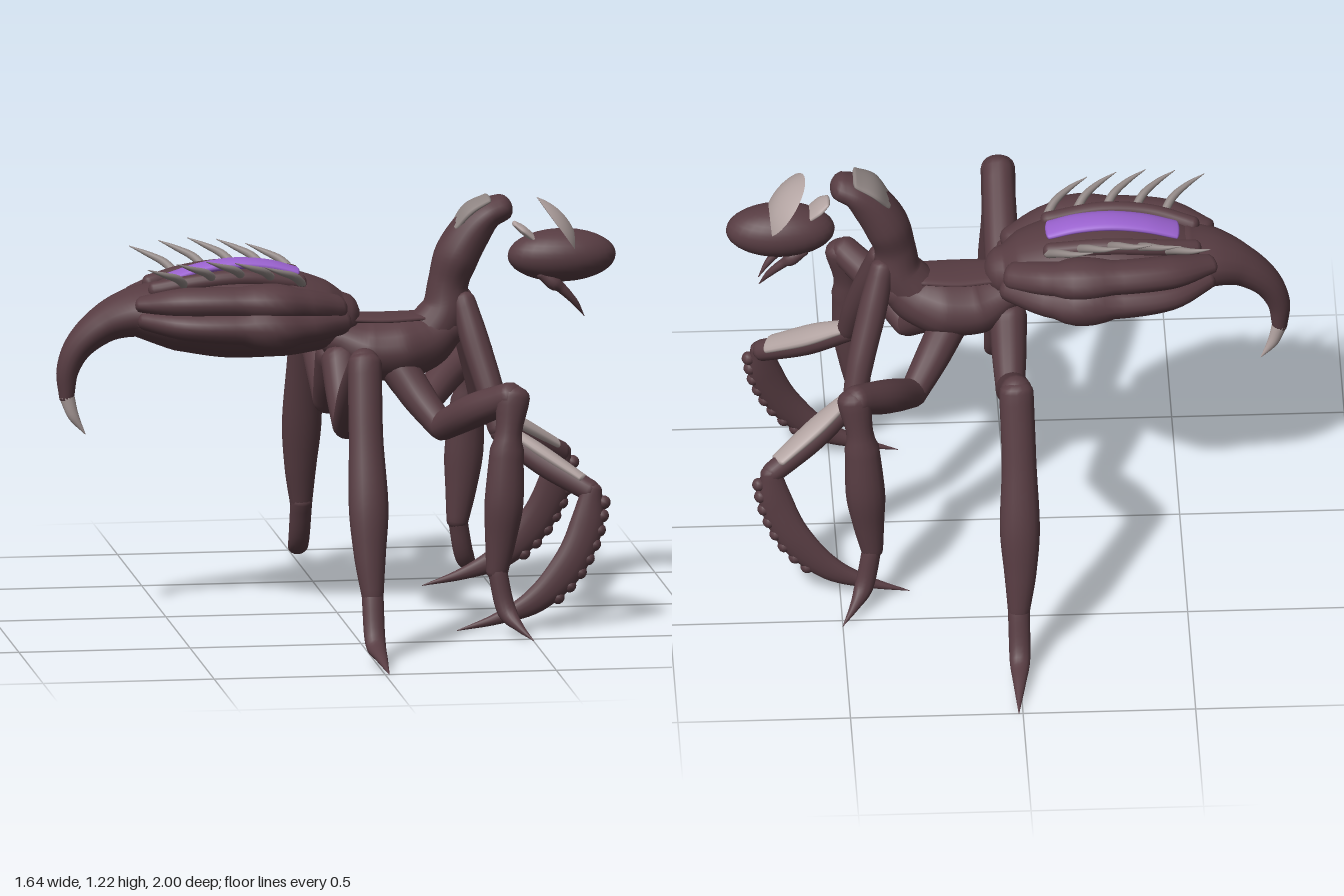
import * as THREE from 'three';

const mat = (name, color) => {
  const m = new THREE.MeshStandardMaterial({ color, side: THREE.DoubleSide });
  m.name = name;
  return m;
};

// Smooth tube through stations [x, y, z, sideRadius, upRadius]; ends are rounded.
function loft(stations, hint = [0, 0, 1], steps = 6, sides = 16) {
  const path = new THREE.CatmullRomCurve3(stations.map(p => new THREE.Vector3(p[0], p[1], p[2])));
  const size = new THREE.CatmullRomCurve3(stations.map(p => new THREE.Vector3(p[3], p[4] ?? p[3], 0)));
  const n = (stations.length - 1) * steps;
  const rings = [];
  for (let i = 0; i <= n; i++) {
    const c = path.getPoint(i / n), r = size.getPoint(i / n), t = path.getTangent(i / n);
    const side = new THREE.Vector3(...hint).addScaledVector(t, -t.dot(new THREE.Vector3(...hint))).normalize();
    rings.push({ c, t, side, up: t.clone().cross(side), a: Math.max(r.x, 0.0005), b: Math.max(r.y, 0.0005) });
  }
  const cap = (ring, dir) => [0.4, 0.8, 1.2, 1.57].map(k => ({
    ...ring,
    c: ring.c.clone().addScaledVector(ring.t, dir * Math.min(ring.a, ring.b) * 0.8 * Math.sin(k)),
    a: ring.a * Math.cos(k), b: ring.b * Math.cos(k),
  }));
  const all = [...cap(rings[0], -1).reverse(), ...rings, ...cap(rings[n], 1)];
  const pos = [], idx = [];
  all.forEach((g, i) => {
    for (let j = 0; j < sides; j++) {
      const q = j / sides * Math.PI * 2;
      const v = g.c.clone().addScaledVector(g.side, g.a * Math.cos(q)).addScaledVector(g.up, g.b * Math.sin(q));
      pos.push(v.x, v.y, v.z);
      if (i === all.length - 1) continue;
      const a = i * sides + j, b = i * sides + (j + 1) % sides;
      idx.push(a, b, b + sides, a, b + sides, a + sides);
    }
  });
  const geo = new THREE.BufferGeometry();
  geo.setAttribute('position', new THREE.Float32BufferAttribute(pos, 3));
  geo.setIndex(idx);
  geo.computeVertexNormals();
  return geo;
}

export function createModel() {
  const model = new THREE.Group();
  model.name = 'insect';
  const shell = mat('dark shell', 0x573c42);
  const bone = mat('pale bone', 0xb3a4a2);
  const horn = mat('grey horn', 0x8f8583);
  const violet = mat('violet glow', 0x9a62cf);
  const add = (name, geo, m = shell) => {
    const mesh = new THREE.Mesh(geo, m);
    mesh.name = name;
    model.add(mesh);
    return mesh;
  };
  const mirror = (pts, s) => pts.map(([x, y, z, ...r]) => [x, y, z * s, ...r]);

  // Abdomen and tail
  add('abdomen', loft([
    [-0.6, 0.9, 0, 0.11, 0.06], [-0.48, 0.9, 0, 0.17, 0.105], [-0.32, 0.9, 0, 0.19, 0.13],
    [-0.15, 0.895, 0, 0.17, 0.125], [-0.04, 0.885, 0, 0.13, 0.1], [0.01, 0.88, 0, 0.08, 0.07],
  ], undefined, 6, 28));
  add('tail', loft([
    [-0.52, 0.91, 0, 0.15, 0.085], [-0.6, 0.905, 0, 0.115, 0.07], [-0.68, 0.875, 0, 0.075, 0.055], [-0.755, 0.81, 0, 0.05, 0.042],
    [-0.787, 0.74, 0, 0.035, 0.033], [-0.79, 0.66, 0, 0.022, 0.022],
  ]));
  add('tailSting', loft([[-0.79, 0.665, 0, 0.0225], [-0.77, 0.605, 0, 0.016], [-0.735, 0.55, 0, 0.001]]), bone);
  add('backGlow', loft([
    [-0.49, 1.005, 0, 0.045, 0.012], [-0.4, 1.03, 0, 0.046, 0.015], [-0.3, 1.042, 0, 0.046, 0.016],
    [-0.2, 1.035, 0, 0.046, 0.015], [-0.12, 1.015, 0, 0.045, 0.012],
  ]), violet);

  // Thorax, neck and neck plates
  add('thorax', loft([
    [0.0, 0.82, 0, 0.09, 0.06], [0.08, 0.785, 0, 0.125, 0.09], [0.18, 0.785, 0, 0.13, 0.095],
    [0.26, 0.805, 0, 0.1, 0.085], [0.32, 0.84, 0, 0.07, 0.06],
  ], undefined, 6, 22));
  add('thoraxPlate', loft([
    [0.04, 0.875, 0, 0.06, 0.012], [0.14, 0.872, 0, 0.07, 0.012], [0.25, 0.875, 0, 0.06, 0.012],
  ]));
  add('neck', loft([
    [0.27, 0.82, 0, 0.08, 0.08], [0.315, 0.89, 0, 0.07, 0.07], [0.325, 0.97, 0, 0.06, 0.06],
    [0.35, 1.05, 0, 0.075, 0.066], [0.395, 1.125, 0, 0.07, 0.06], [0.44, 1.17, 0, 0.066, 0.046],
    [0.48, 1.187, 0, 0.055, 0.04],
  ]));
  add('neckPlate', loft([
    [0.345, 1.135, 0, 0.045, 0.012], [0.385, 1.185, 0, 0.065, 0.014], [0.44, 1.215, 0, 0.055, 0.01],
  ]), horn);

  // Head with its raised shield
  const head = add('head', new THREE.SphereGeometry(1, 28, 18));
  head.scale.set(0.158, 0.077, 0.087);
  head.position.set(0.657, 1.043, 0);
  const shield = add('headShield', new THREE.SphereGeometry(0.175, 28, 10, 0, Math.PI * 2, 0, 0.64), bone);
  shield.position.set(0.531, 1.046, 0);
  shield.rotation.z = -0.952;
  add('rearShield', loft([[0.52, 1.137, 0, 0.03, 0.008], [0.545, 1.118, 0, 0.045, 0.012], [0.575, 1.092, 0, 0.04, 0.01]]), bone);

  for (const s of [1, -1]) {
    const side = s > 0 ? 'left' : 'right';
    const put = (name, pts, m, hint) => add(side + name, loft(mirror(pts, s), hint), m);

    // Paired abdomen lobes, with knobbed seams
    put('UpperLobe', [
      [-0.58, 0.945, 0.09, 0.04, 0.025], [-0.46, 0.955, 0.145, 0.06, 0.045], [-0.3, 0.955, 0.165, 0.062, 0.047],
      [-0.14, 0.945, 0.15, 0.062, 0.047], [-0.02, 0.92, 0.09, 0.05, 0.04],
    ]);
    put('LowerLobe', [
      [-0.57, 0.9, 0.1, 0.04, 0.03], [-0.46, 0.89, 0.16, 0.06, 0.042], [-0.3, 0.885, 0.18, 0.062, 0.05],
      [-0.14, 0.88, 0.165, 0.062, 0.05], [-0.01, 0.88, 0.09, 0.05, 0.04],
    ]);
    put('DorsalRidge', [
      [-0.54, 0.98, 0.06, 0.025], [-0.42, 1.005, 0.09, 0.025], [-0.28, 1.015, 0.095, 0.025], [-0.12, 0.995, 0.08, 0.025],
    ]);

    // Swept-back spines
    for (let i = 0; i < 5; i++) {
      const x = -0.455 + i * 0.085, y = 1.0 + 0.02 * Math.sin(i * 0.8);
      put('Spine' + (i + 1), [
        [x, y - 0.005, 0.09, 0.013], [x - 0.03, y + 0.025, 0.135, 0.012],
        [x - 0.075, y + 0.045, 0.172, 0.008], [x - 0.125, y + 0.065, 0.195, 0.001],
      ], horn);
    }

    // Mandible
    put('Mandible', [
      [0.59, 0.995, 0.045, 0.014], [0.645, 0.955, 0.04, 0.014], [0.69, 0.91, 0.03, 0.01], [0.72, 0.865, 0.018, 0.001],
    ]);

    // Hind leg
    put('HindCoxa', [[0, 0.76, 0.06, 0.055], [0, 0.67, 0.13, 0.05], [0, 0.595, 0.2, 0.042]], shell, [1, 0, 0]);
    put('HindThigh', [[0, 0.595, 0.2, 0.042], [0, 0.72, 0.38, 0.05], [0, 0.845, 0.57, 0.046]], shell, [1, 0, 0]);
    put('HindShin', [
      [0, 0.845, 0.575, 0.05, 0.042], [-0.005, 0.65, 0.635, 0.05, 0.04], [-0.005, 0.45, 0.69, 0.058, 0.045],
      [-0.005, 0.3, 0.72, 0.046, 0.037], [0, 0.19, 0.74, 0.032, 0.028],
    ], shell, [1, 0, 0]);
    put('HindFoot', [
      [0, 0.2, 0.735, 0.032, 0.028], [0, 0.06, 0.8, 0.03, 0.022], [0.005, 0.035, 0.89, 0.018, 0.014], [0.012, 0.008, 1.0, 0.001],
    ], shell, [1, 0, 0]);

    // Middle leg
    put('MiddleCoxa', [[0.17, 0.74, 0.06, 0.055], [0.22, 0.66, 0.11, 0.05], [0.28, 0.58, 0.18, 0.04]]);
    put('MiddleThigh', [[0.28, 0.58, 0.18, 0.042], [0.36, 0.645, 0.29, 0.05], [0.455, 0.7, 0.385, 0.044]]);
    put('MiddleShin', [
      [0.46, 0.7, 0.385, 0.042, 0.05], [0.44, 0.55, 0.405, 0.042, 0.05], [0.43, 0.4, 0.415, 0.045, 0.057],
      [0.42, 0.28, 0.412, 0.036, 0.045], [0.41, 0.19, 0.41, 0.028, 0.032],
    ]);
    put('MiddleFoot', [
      [0.41, 0.2, 0.41, 0.028], [0.435, 0.08, 0.435, 0.024, 0.028], [0.465, 0.04, 0.48, 0.014], [0.5, 0.008, 0.53, 0.001],
    ]);

    // Grasping foreleg with a pale guard on the thigh
    put('ForeCoxa', [[0.365, 0.92, 0.035, 0.035], [0.395, 0.8, 0.08, 0.042], [0.43, 0.67, 0.135, 0.04], [0.45, 0.57, 0.175, 0.034]]);
    put('ForeThigh', [[0.45, 0.56, 0.175, 0.03], [0.57, 0.475, 0.245, 0.036], [0.695, 0.405, 0.315, 0.032]]);
    put('ThighGuard', [[0.47, 0.57, 0.18, 0.028, 0.015], [0.57, 0.505, 0.238, 0.042, 0.02], [0.675, 0.438, 0.298, 0.036, 0.015]], bone);
    const blade = [
      [0.7, 0.41, 0.32, 0.025, 0.03], [0.68, 0.3, 0.335, 0.025, 0.05], [0.625, 0.19, 0.35, 0.024, 0.05],
      [0.53, 0.095, 0.358, 0.022, 0.038], [0.42, 0.045, 0.36, 0.016, 0.018], [0.3, 0.012, 0.362, 0.001],
    ];
    put('ForeBlade', blade);

    // Scalloped outer edge of the blade
    const edge = new THREE.CatmullRomCurve3(mirror(blade, s).slice(0, 4).map(p => new THREE.Vector3(p[0], p[1], p[2])));
    for (let i = 0; i < 8; i++) {
      const u = 0.1 + i * 0.11, p = edge.getPoint(u), t = edge.getTangent(u);
      const knob = add(side + 'BladeTooth' + (i + 1), new THREE.SphereGeometry(0.02, 10, 8));
      knob.position.set(p.x - t.y * 0.04, p.y + t.x * 0.04, p.z);
    }
  }
  return model;
}
